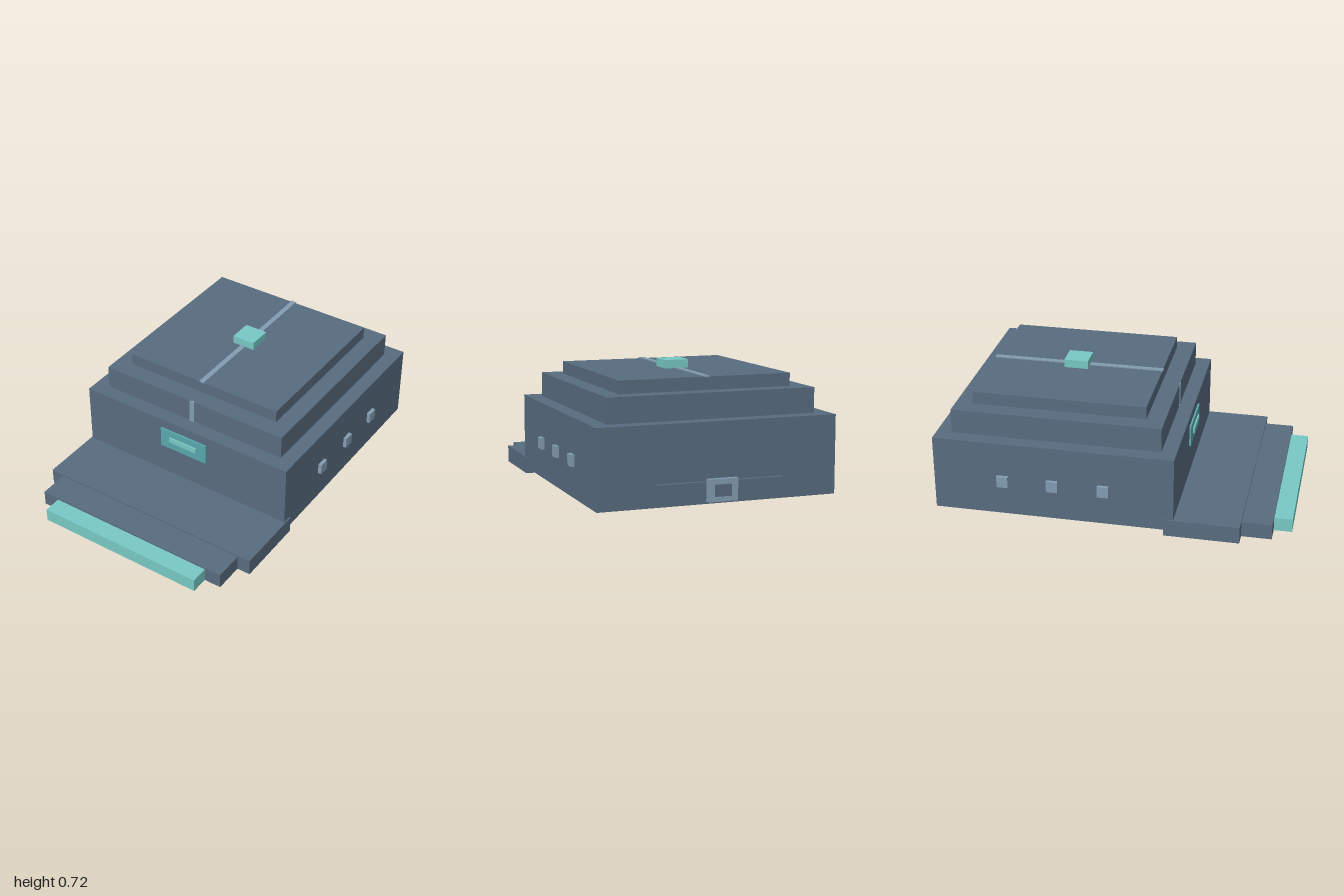
import * as THREE from 'three';

const mat = (name, color) => {
  const m = new THREE.MeshStandardMaterial({ color });
  m.name = name;
  return m;
};

export function createModel() {
  const group = new THREE.Group();
  const cloth = mat('slate cloth', 0x586c80);
  const trim = mat('pale blue trim', 0x839db2);
  const mint = mat('mint', 0x78c9c4);
  const teal = mat('deep teal', 0x58a8ac);

  // Box given by its limits on each axis
  const box = (name, material, [x0, x1], [y0, y1], [z0, z1]) => {
    const mesh = new THREE.Mesh(new THREE.BoxGeometry(x1 - x0, y1 - y0, z1 - z0), material);
    mesh.position.set((x0 + x1) / 2, (y0 + y1) / 2, (z0 + z1) / 2);
    mesh.name = name;
    group.add(mesh);
    return mesh;
  };
  // Box centred on x = 0
  const mid = (name, material, half, y, z) => box(name, material, [-half, half], y, z);

  // Stepped crown
  mid('crownBase', cloth, 0.66, [0.045, 0.468], [-0.945, 0.377]);
  mid('crownMiddle', cloth, 0.576, [0.468, 0.604], [-0.86, 0.295]);
  mid('crownTop', cloth, 0.479, [0.604, 0.674], [-0.765, 0.195]);

  // Seams and top button
  mid('topSeam', trim, 0.015, [0.672, 0.68], [-0.77, 0.2]);
  mid('frontSeam', trim, 0.015, [0.468, 0.604], [0.29, 0.299]);
  mid('topButton', mint, 0.067, [0.674, 0.72], [-0.353, -0.218]);

  // Brim, its edge and lining
  mid('brim', cloth, 0.668, [0.014, 0.11], [0.325, 0.735]);
  mid('brimFront', cloth, 0.592, [0.014, 0.1], [0.735, 0.9]);
  mid('brimEdge', mint, 0.495, [0.014, 0.09], [0.9, 1]);
  mid('brimLining', teal, 0.56, [0, 0.014], [0.388, 0.89]);

  // Front patch
  mid('frontPatch', teal, 0.151, [0.293, 0.414], [0.377, 0.387]);
  mid('patchBar', mint, 0.09, [0.344, 0.374], [0.387, 0.396]);

  // Eyelets on both sides
  for (const z of [-0.004, -0.283, -0.558]) {
    box('leftEyelet', trim, [0.65, 0.68], [0.214, 0.277], [z - 0.031, z + 0.031]);
    box('rightEyelet', trim, [-0.68, -0.65], [0.214, 0.277], [z - 0.031, z + 0.031]);
  }

  // Back strap with buckle
  mid('backStrap', cloth, 0.347, [0.078, 0.164], [-0.97, -0.945]);
  mid('buckle', trim, 0.083, [0.062, 0.18], [-0.993, -0.968]);
  mid('buckleCentre', cloth, 0.045, [0.09, 0.152], [-1, -0.993]);

  return group;
}
